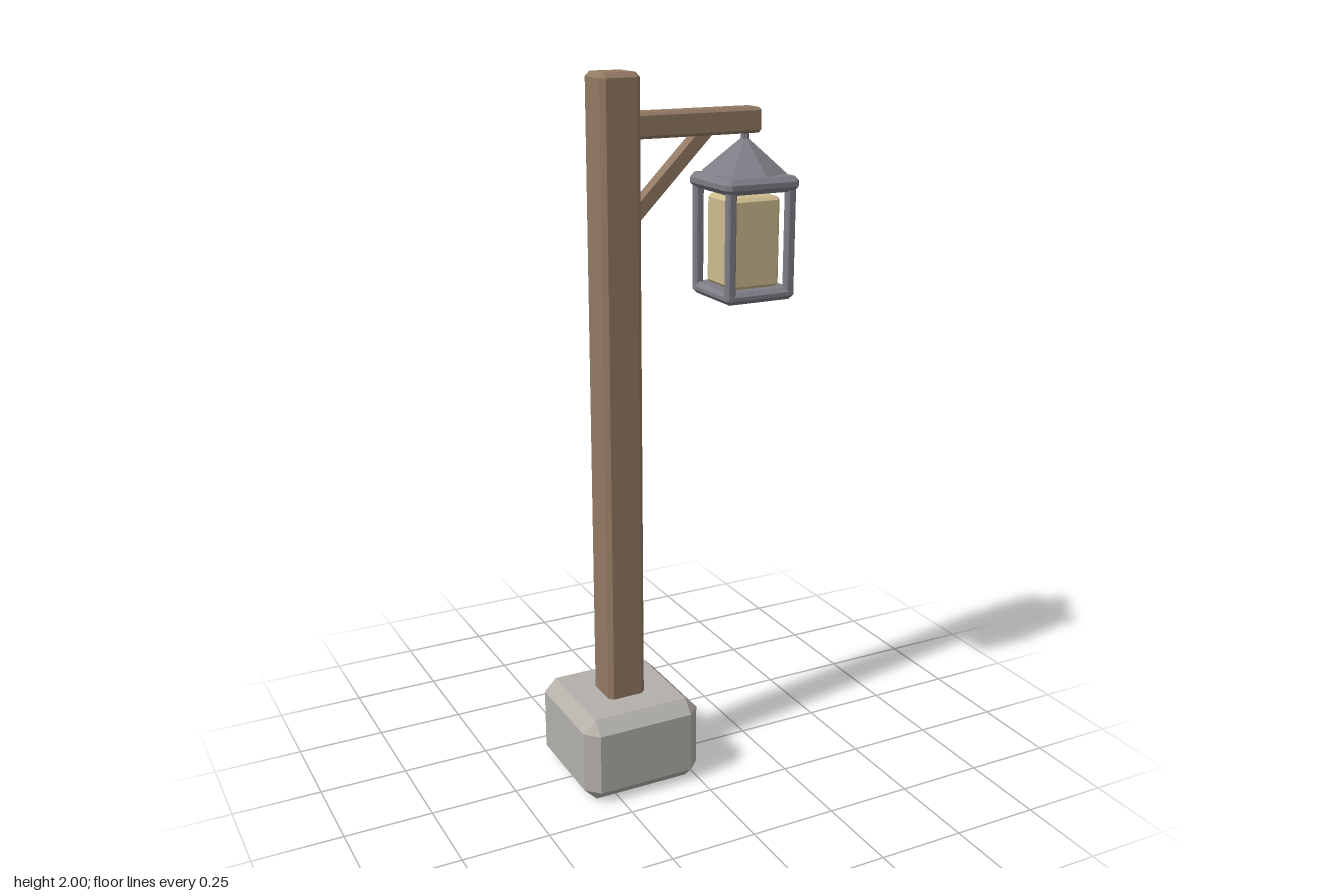
import * as THREE from 'three';
import { ConvexGeometry } from 'three/addons/geometries/ConvexGeometry.js';

const material = (name, color) => {
  const m = new THREE.MeshStandardMaterial({ color, flatShading: true });
  m.name = name;
  return m;
};

// Box with all edges cut at 45 degrees
function chamferBox(w, h, d, c) {
  const points = [];
  const [x, y, z] = [w / 2, h / 2, d / 2];
  for (const i of [-1, 1]) for (const j of [-1, 1]) for (const k of [-1, 1]) {
    points.push(
      new THREE.Vector3(i * x, j * (y - c), k * (z - c)),
      new THREE.Vector3(i * (x - c), j * y, k * (z - c)),
      new THREE.Vector3(i * (x - c), j * (y - c), k * z));
  }
  return new ConvexGeometry(points);
}

export function createModel() {
  const wood = material('wood', 0x937963);
  const stone = material('stone', 0xb3b0aa);
  const metal = material('metal', 0x7e7d86);
  const glass = material('glass', 0xcdbc8e);

  const model = new THREE.Group();
  model.name = 'lampPost';

  const add = (parent, name, geometry, mat, x, y, z) => {
    const mesh = new THREE.Mesh(geometry, mat);
    mesh.name = name;
    mesh.position.set(x, y, z);
    parent.add(mesh);
    return mesh;
  };

  // Stone footing, post and arm
  const postX = -0.168;
  add(model, 'footing', chamferBox(0.356, 0.25, 0.356, 0.036), stone, postX, 0.125, 0);
  add(model, 'post', chamferBox(0.114, 1.8, 0.114, 0.013), wood, postX, 1.1, 0);
  add(model, 'arm', chamferBox(0.39, 0.068, 0.072, 0.008), wood, 0.064, 1.862, 0);

  // Diagonal brace, its ends cut flush with the post and the arm
  const braceShape = new THREE.Shape([
    new THREE.Vector2(-0.118, 1.597), new THREE.Vector2(0.12, 1.835),
    new THREE.Vector2(0.07, 1.835), new THREE.Vector2(-0.118, 1.647)]);
  const brace = new THREE.ExtrudeGeometry(braceShape, { depth: 0.04, bevelEnabled: false });
  add(model, 'brace', brace, wood, 0, 0, -0.02);

  // Hanging lantern
  const lantern = new THREE.Group();
  lantern.name = 'lantern';
  lantern.position.x = 0.224;
  model.add(lantern);

  add(lantern, 'hanger', new THREE.CylinderGeometry(0.012, 0.012, 0.05, 8), metal, 0, 1.815, 0);
  add(lantern, 'roof', new THREE.CylinderGeometry(0.008, 0.12, 0.093, 8), metal, 0, 1.7685, 0);
  add(lantern, 'topPlate', chamferBox(0.228, 0.042, 0.228, 0.014), metal, 0, 1.696, 0);
  add(lantern, 'bottomPlate', chamferBox(0.212, 0.034, 0.212, 0.012), metal, 0, 1.395, 0);
  add(lantern, 'glassPane', chamferBox(0.15, 0.25, 0.15, 0.01), glass, 0, 1.536, 0);
  for (const sx of [-1, 1]) for (const sz of [-1, 1]) {
    add(lantern, 'cornerBar', chamferBox(0.026, 0.3, 0.026, 0.005), metal, sx * 0.092, 1.536, sz * 0.092);
  }
  return model;
}
